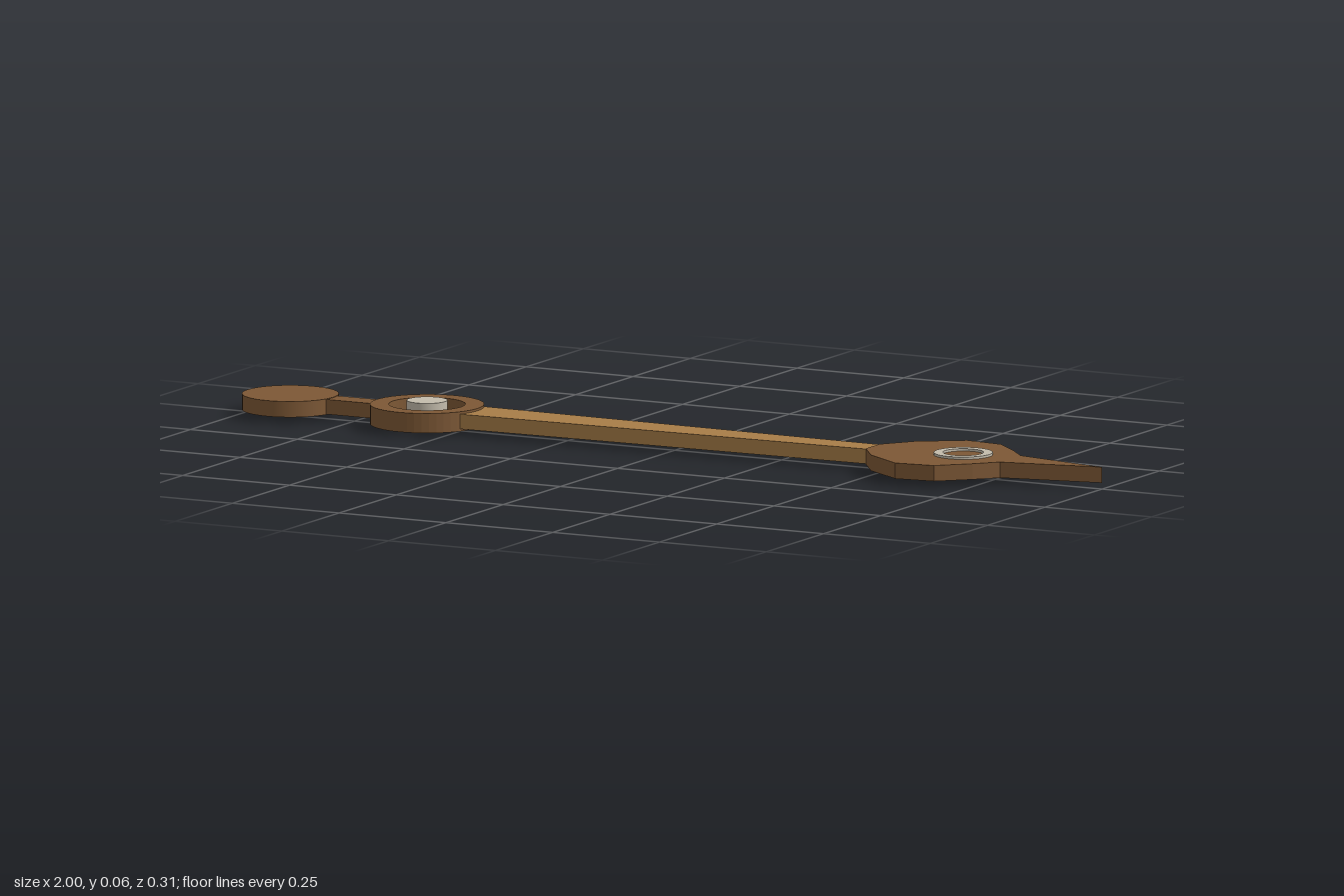
import * as THREE from 'three';

const BASE = 0.013, TOP = 0.046, HUB_X = -0.58, BEZEL_X = 0.675;

function material(name, color) {
  const m = new THREE.MeshStandardMaterial({ color });
  m.name = name;
  return m;
}

// Upright prism from a plan shape, between two heights
function prism(name, shape, y0, y1, mat, curveSegments = 24) {
  const geo = new THREE.ExtrudeGeometry(shape, { depth: y1 - y0, bevelEnabled: false, curveSegments });
  geo.rotateX(-Math.PI / 2);
  geo.translate(0, y0, 0);
  const mesh = new THREE.Mesh(geo, mat);
  mesh.name = name;
  return mesh;
}

// Plan outline mirrored across the long axis, from [x, halfWidth] points
function mirrored(points) {
  const lower = points.map(([x, w]) => new THREE.Vector2(x, -w));
  const upper = points.filter(([, w]) => w > 0).map(([x, w]) => new THREE.Vector2(x, w)).reverse();
  return new THREE.Shape([...lower, ...upper]);
}

function ringShape(x, outer, inner) {
  const shape = new THREE.Shape().absarc(x, 0, outer, 0, Math.PI * 2, false);
  shape.holes.push(new THREE.Path().absarc(x, 0, inner, 0, Math.PI * 2, true));
  return shape;
}

function disc(name, x, radius, y0, y1, mat) {
  const mesh = new THREE.Mesh(new THREE.CylinderGeometry(radius, radius, y1 - y0, 48), mat);
  mesh.position.set(x, (y0 + y1) / 2, 0);
  mesh.name = name;
  return mesh;
}

export function createModel() {
  const dark = material('darkBronze', 0x7d5835);
  const light = material('lightBronze', 0xa87d48);
  const metal = material('paleMetal', 0xc4bcac);
  const hand = new THREE.Group();
  hand.name = 'clockHand';

  // Counterweight and its neck
  hand.add(disc('counterweight', -0.9, 0.1, BASE, TOP, dark));
  hand.add(prism('neck', mirrored([[-0.82, 0.025], [-0.685, 0.025]]), BASE + 0.001, TOP - 0.001, dark));

  // Open hub with a pivot pin standing in its middle
  hand.add(prism('hubRing', ringShape(HUB_X, 0.118, 0.079), 0.009, 0.05, dark));
  hand.add(disc('pivotPin', HUB_X, 0.042, 0, 0.058, metal));

  // Tapered shaft
  hand.add(prism('shaft', mirrored([[-0.475, 0.053], [0.47, 0.031]]), BASE + 0.001, TOP - 0.001, light));

  // Faceted head drawn out to a point
  hand.add(prism('head', mirrored([
    [0.463, 0.03], [0.51, 0.095], [0.6, 0.157], [0.685, 0.147],
    [0.745, 0.09], [0.785, 0.045], [1, 0],
  ]), BASE, TOP, dark));

  // Pale ring set on top of the head
  hand.add(prism('headBezel', ringShape(BEZEL_X, 0.061, 0.042), TOP - 0.004, 0.051, metal));

  return hand;
}
